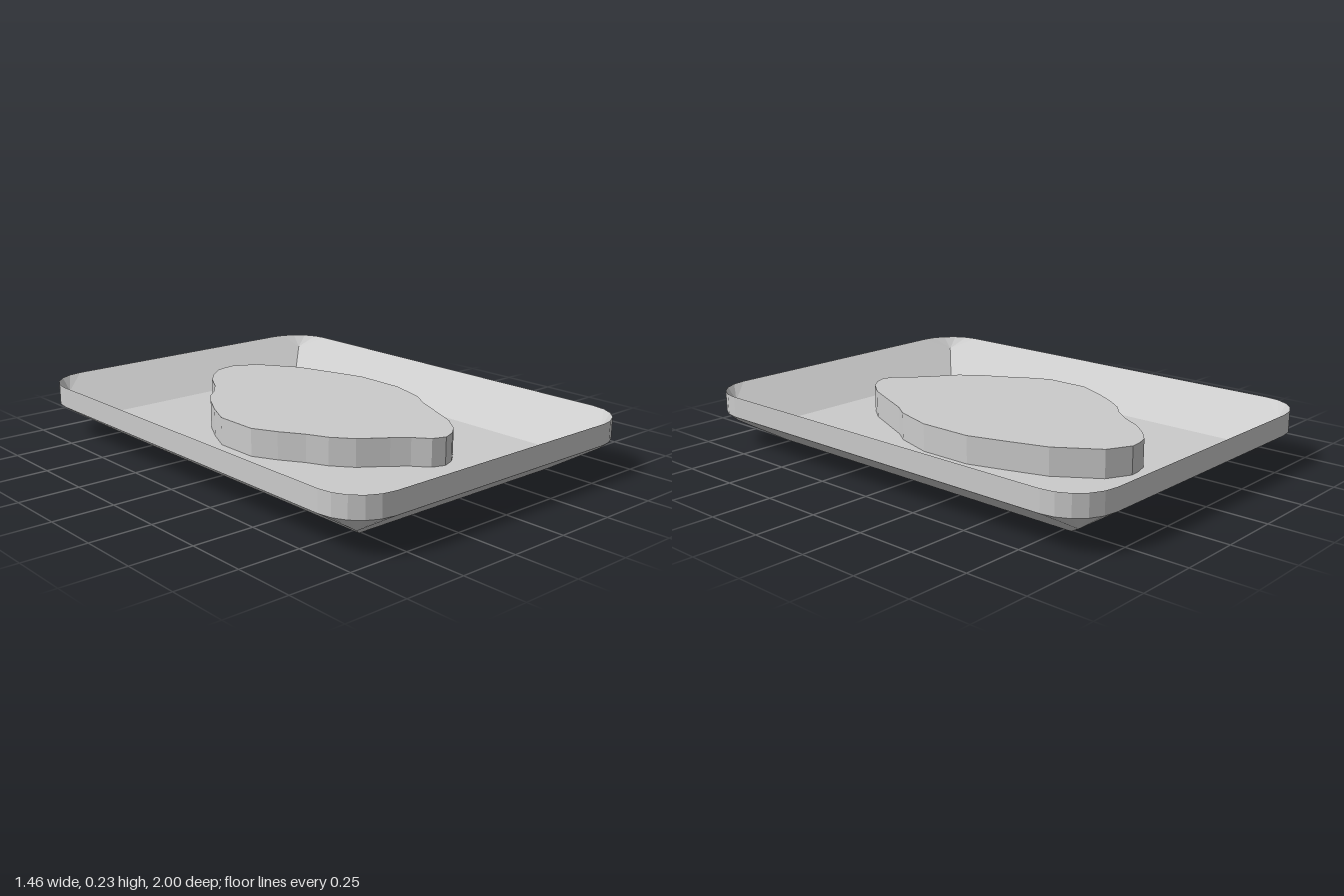
import * as THREE from 'three';

const material = new THREE.MeshStandardMaterial({
  color: 0xcccccc, flatShading: true, side: THREE.DoubleSide,
});

// Dish: a sloped sheet with mitred sides and rounded corners, thickened straight up
const THICK = 0.087, RIM_Y = 0.14, SEGS = 5, RADIUS = 0.18;
const HALF_X = 0.73, HALF_Z = 1, FLOOR_X = 0.51, FLOOR_Z = 0.78;
const APEX = 0.14; // how far each mitre runs out before the corner fan begins

function dishGeometry() {
  const positions = [];
  // Adds a convex polygon as a triangle fan
  const poly = (points, flip = false) => {
    const p = flip ? [...points].reverse() : points;
    for (let i = 1; i < p.length - 1; i++) {
      for (const v of [p[0], p[i], p[i + 1]]) positions.push(...v);
    }
  };

  // Floor corner, mitre end and rim arc of each of the four corners
  const cornersAt = (y) => [[1, 1], [-1, 1], [-1, -1], [1, -1]].map(([sx, sz], q) => ({
    floor: [sx * FLOOR_X, y, sz * FLOOR_Z],
    apex: [sx * (FLOOR_X + APEX), y + 0.089, sz * (FLOOR_Z + APEX)],
    arc: Array.from({ length: SEGS + 1 }, (_, i) => {
      const t = (q + i / SEGS) * Math.PI / 2;
      return [
        sx * (HALF_X - RADIUS) + RADIUS * Math.cos(t),
        y + RIM_Y,
        sz * (HALF_Z - RADIUS) + RADIUS * Math.sin(t),
      ];
    }),
  }));

  const addSheet = (corners, flip) => {
    poly(corners.map((c) => c.floor), flip);
    corners.forEach((c, q) => {
      const next = corners[(q + 1) % 4];
      // Sloped side
      poly([c.floor, c.apex, c.arc[SEGS], next.arc[0], next.apex, next.floor], flip);
      // Corner fan
      for (let i = 0; i < SEGS; i++) poly([c.apex, c.arc[i], c.arc[i + 1]], flip);
    });
  };

  const lower = cornersAt(0), upper = cornersAt(THICK);
  addSheet(lower, false);
  addSheet(upper, true);

  // Upright rim joining the two sheets
  const low = lower.flatMap((c) => c.arc), high = upper.flatMap((c) => c.arc);
  low.forEach((p, i) => {
    const j = (i + 1) % low.length;
    poly([p, high[i], high[j], low[j]]);
  });

  const geometry = new THREE.BufferGeometry();
  geometry.setAttribute('position', new THREE.Float32BufferAttribute(positions, 3));
  geometry.computeVertexNormals();
  return geometry;
}

// Slab: irregular oval outline (x, z), extruded downward from its top face
const SLAB_TOP = 0.2;
const OUTLINE = [
  [0, -0.72], [0.05, -0.735], [0.1, -0.74], [0.2, -0.69], [0.315, -0.52], [0.37, -0.35],
  [0.415, -0.2], [0.415, 0.03], [0.365, 0.2], [0.32, 0.27], [0.21, 0.52],
  [0.15, 0.6], [0.1, 0.64], [0.045, 0.66], [-0.01, 0.64], [-0.06, 0.58],
  [-0.12, 0.53], [-0.225, 0.455], [-0.29, 0.375], [-0.33, 0.29], [-0.39, 0.195],
  [-0.44, 0.095], [-0.44, -0.095], [-0.39, -0.21], [-0.33, -0.32], [-0.28, -0.39],
  [-0.225, -0.44], [-0.17, -0.51], [-0.12, -0.6], [-0.06, -0.67],
];

function slabGeometry() {
  const shape = new THREE.Shape(OUTLINE.map(([x, z]) => new THREE.Vector2(x, z)));
  return new THREE.ExtrudeGeometry(shape, { depth: SLAB_TOP - THICK, bevelEnabled: false })
    .rotateX(Math.PI / 2)
    .translate(0, SLAB_TOP, 0);
}

export function createModel() {
  const model = new THREE.Group();
  model.name = 'dishWithSlab';
  const add = (name, geometry) => {
    const mesh = new THREE.Mesh(geometry, material);
    mesh.name = name;
    model.add(mesh);
  };
  add('dish', dishGeometry());
  add('slab', slabGeometry());
  return model;
}
